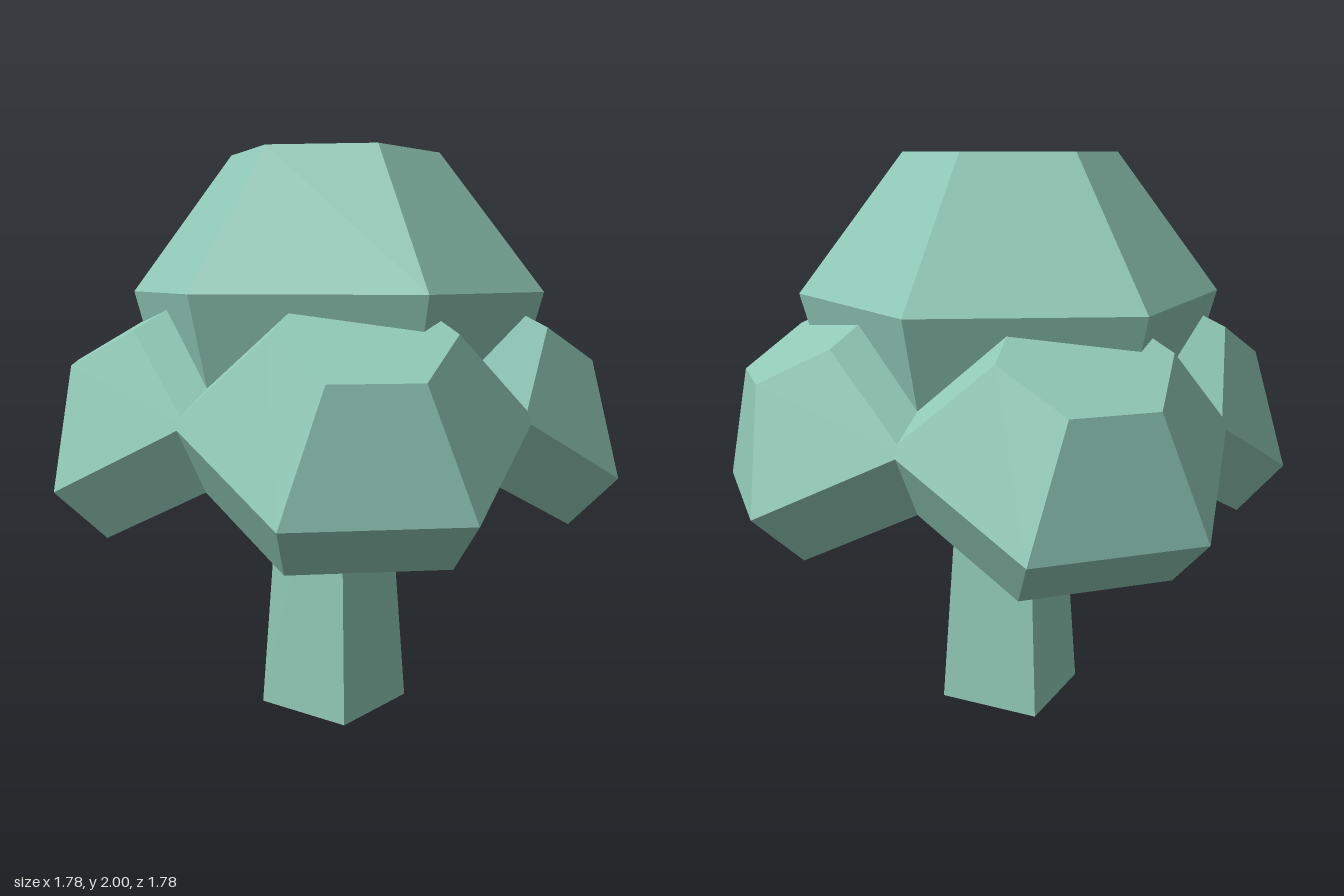
import * as THREE from 'three';

const leafy = new THREE.MeshStandardMaterial({ color: 0x8fc7b5, flatShading: true });

function part(name, geometry) {
  const mesh = new THREE.Mesh(geometry, leafy);
  mesh.name = name;
  return mesh;
}

// Six-sided foliage clump: [radius, y] rings from bottom to top, closed at both ends
function clump(name, rings) {
  const profile = [[0, rings[0][1]], ...rings, [0, rings[rings.length - 1][1]]];
  return part(name, new THREE.LatheGeometry(profile.map(([r, y]) => new THREE.Vector2(r, y)), 6));
}

// Tapered bar with a square section, standing on y = 0
function bar(name, topHalf, bottomHalf, height, depthScale = 1) {
  const g = new THREE.CylinderGeometry(topHalf * Math.SQRT2, bottomHalf * Math.SQRT2, height, 4);
  g.rotateY(Math.PI / 4).translate(0, height / 2, 0).scale(depthScale, 1, 1);
  return part(name, g);
}

export function createModel() {
  const tree = new THREE.Group();
  tree.name = 'tree';

  tree.add(bar('trunk', 0.12, 0.19, 1.3));
  tree.add(clump('topCrown', [[0.65, 1.19], [0.74, 1.52], [0.37, 2]]));

  for (let i = 0; i < 4; i++) {
    // Side crown, leaning outward along a diagonal
    const crownPivot = new THREE.Group();
    crownPivot.name = 'sideCrown' + (i + 1);
    crownPivot.rotation.y = Math.PI / 4 + i * Math.PI / 2;
    const crown = clump('sideFoliage', [[0.51, -0.228], [0.58, 0], [0.29, 0.325]]);
    crown.position.set(0.536, 1.12, 0);
    crown.rotation.z = -Math.PI / 6;
    crownPivot.add(crown);
    tree.add(crownPivot);

    // Branch rising from each trunk face; front and back ones lean further out
    const slope = i % 2 ? 0.68 : 0.92;
    const half = 0.06;
    const branchPivot = new THREE.Group();
    branchPivot.name = 'branch' + (i + 1);
    branchPivot.rotation.y = i * Math.PI / 2;
    const branch = bar('branchBar', 0.08, 0.095, 0.42, half / 0.095);
    branch.position.set(
      0.155 - half * Math.sin(slope) - 0.02 * Math.cos(slope),
      0.65 + half * Math.cos(slope) - 0.02 * Math.sin(slope), 0);
    branch.rotation.z = slope - Math.PI / 2;
    branchPivot.add(branch);
    tree.add(branchPivot);
  }
  return tree;
}
